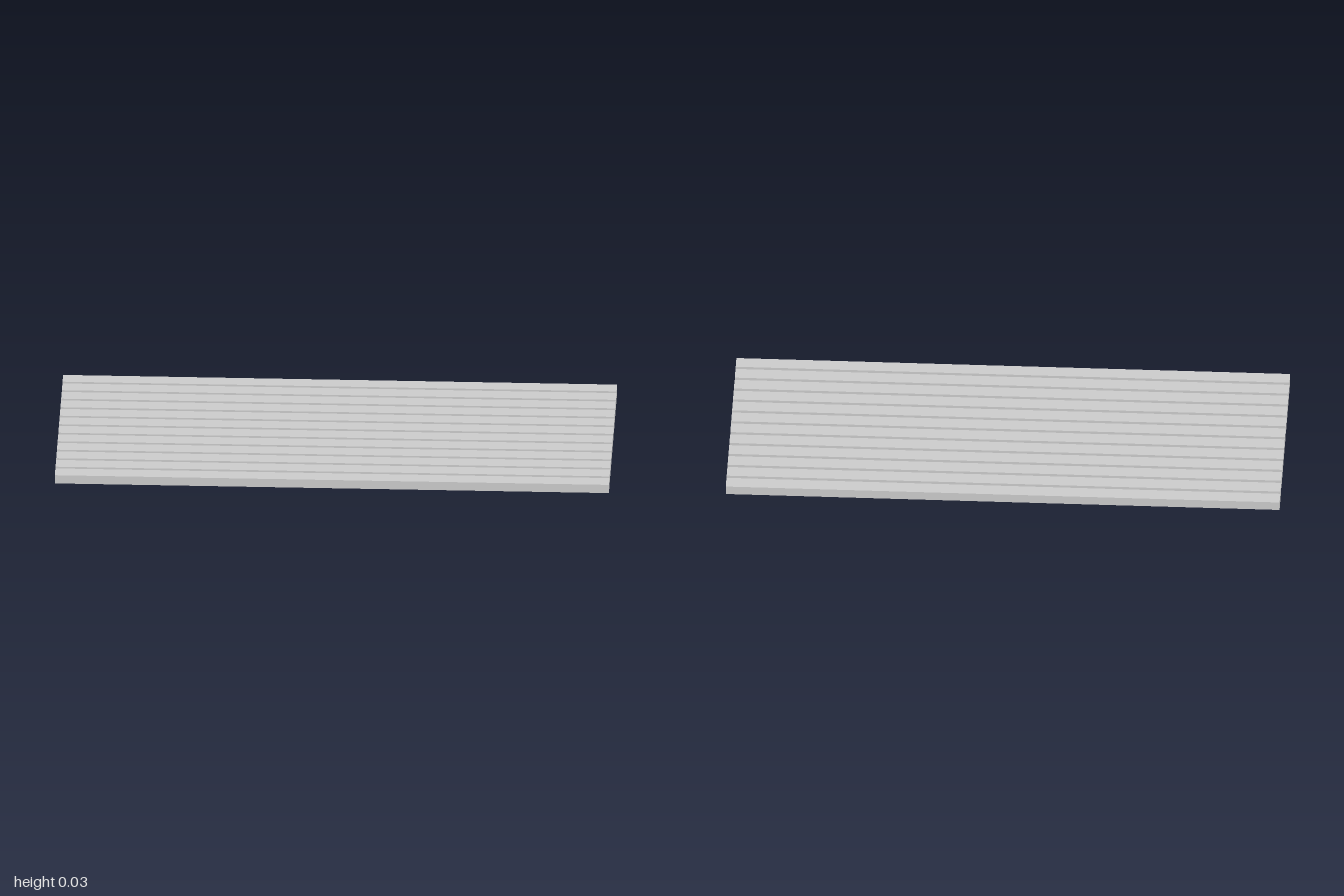
import * as THREE from 'three';

const SLATS = 12;
const LENGTH = 2;
const HEIGHT = 0.0333;
const WIDTH = 0.0533;
const PITCH = 0.0667; // slat width plus gap

export function createModel() {
  const group = new THREE.Group();
  group.name = 'slattedPanel';
  const material = new THREE.MeshStandardMaterial({ color: 0xcccccc });
  const geometry = new THREE.BoxGeometry(LENGTH, HEIGHT, WIDTH);

  // Parallel slats, evenly spaced from back to front
  for (let i = 0; i < SLATS; i++) {
    const slat = new THREE.Mesh(geometry, material);
    slat.name = `slat${i + 1}`;
    slat.position.set(0, HEIGHT / 2, (i - (SLATS - 1) / 2) * PITCH);
    group.add(slat);
  }
  return group;
}
